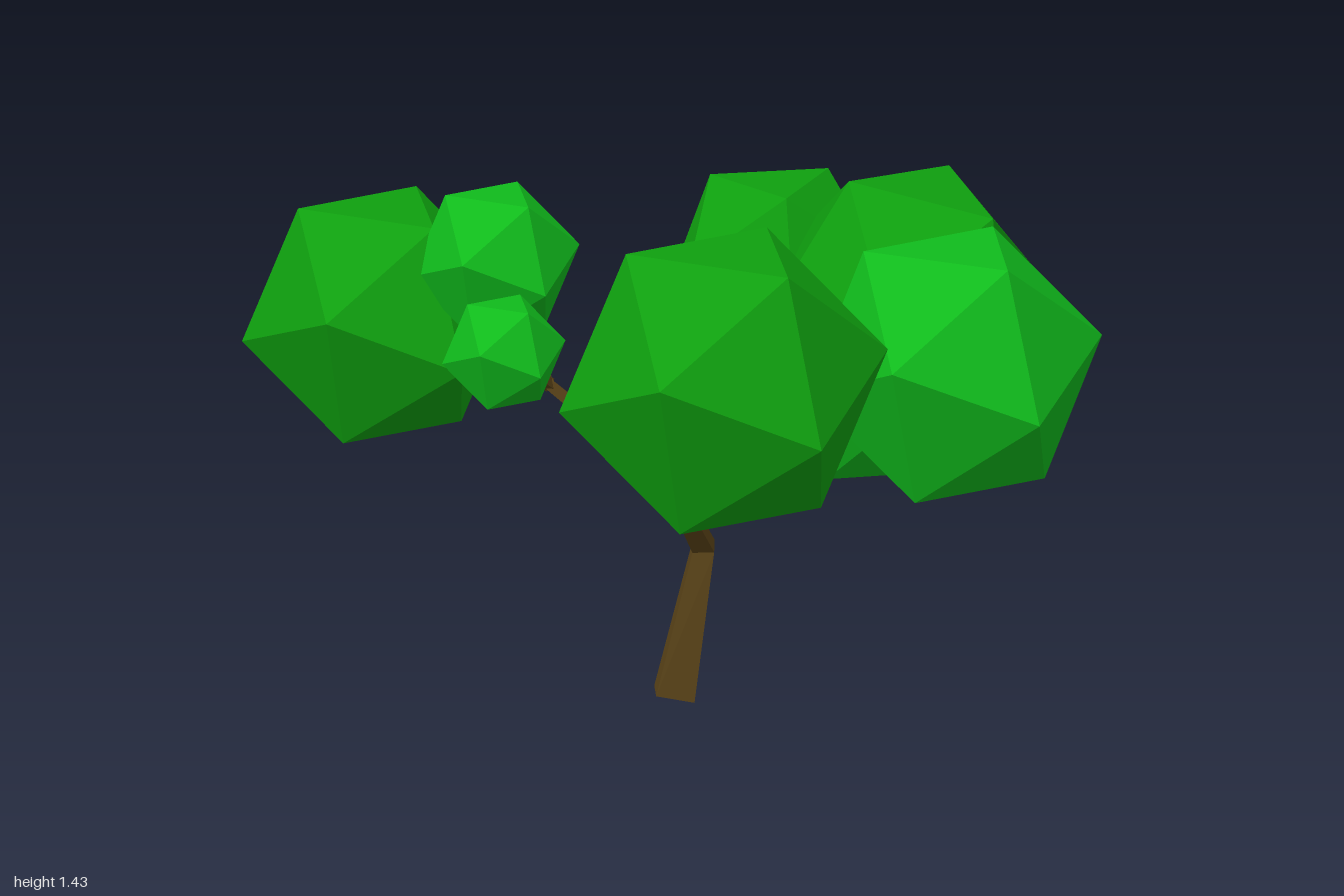
import * as THREE from 'three';

const V = (p) => new THREE.Vector3(...p);
const bark = new THREE.MeshStandardMaterial({ color: 0x5a4318, flatShading: true });
const darkLeaf = new THREE.MeshStandardMaterial({ color: 0x0fa00f, flatShading: true });
const brightLeaf = new THREE.MeshStandardMaterial({ color: 0x10bb1c, flatShading: true });

// Four-sided tapering limb lofted along [x, y, z, radius] points
function limb(name, path) {
  const sides = 4, pos = [], index = [];
  const pts = path.map((p) => V(p.slice(0, 3)));
  let u = new THREE.Vector3(1, 0, 0);
  pts.forEach((p, i) => {
    const t = new THREE.Vector3();
    if (i > 0) t.add(p.clone().sub(pts[i - 1]).normalize());
    if (i < pts.length - 1) t.add(pts[i + 1].clone().sub(p).normalize());
    t.normalize();
    u = u.clone().addScaledVector(t, -u.dot(t)).normalize();
    const v = t.clone().cross(u);
    for (let k = 0; k < sides; k++) {
      const ang = 0.35 + (k / sides) * Math.PI * 2;
      const q = p.clone()
        .addScaledVector(u, Math.cos(ang) * path[i][3])
        .addScaledVector(v, Math.sin(ang) * path[i][3]);
      pos.push(q.x, Math.max(q.y, 0), q.z);
      if (i === 0) continue;
      const a = (i - 1) * sides + k, b = (i - 1) * sides + ((k + 1) % sides);
      index.push(a, b, b + sides, a, b + sides, a + sides);
    }
  });
  // End caps
  const e = (pts.length - 1) * sides;
  index.push(0, 2, 1, 0, 3, 2, e, e + 1, e + 2, e, e + 2, e + 3);
  const indexed = new THREE.BufferGeometry();
  indexed.setAttribute('position', new THREE.Float32BufferAttribute(pos, 3));
  indexed.setIndex(index);
  const geo = indexed.toNonIndexed();
  geo.computeVertexNormals();
  const mesh = new THREE.Mesh(geo, bark);
  mesh.name = name;
  return mesh;
}

// Icosahedral leaf clump, turned so that two neighbouring corners point along a and b
function clump(name, center, radius, material, a = [-0.225, 0.33, -0.08], b = [0.195, 0.32, -0.15]) {
  const va = V(a).normalize(), vb = V(b).normalize();
  const x = vb.clone().sub(va).normalize();
  const y = va.clone().add(vb).normalize();
  const mesh = new THREE.Mesh(new THREE.IcosahedronGeometry(radius, 0), material);
  mesh.quaternion.setFromRotationMatrix(new THREE.Matrix4().makeBasis(x, y, x.clone().cross(y)));
  mesh.position.copy(V(center));
  mesh.name = name;
  return mesh;
}

export function createModel() {
  const tree = new THREE.Group();
  tree.name = 'tree';

  // Leaf clump centres
  const frontRight = [-0.335, 1.1, 0.6], frontLeft = [0.345, 1.03, 0.52];
  const backRight = [-0.62, 0.975, -0.69], upperRight = [-0.44, 1.16, -0.42], smallRight = [-0.54, 1.0, -0.18];
  const backLeft = [0.445, 0.97, -0.63], sideLeft = [0.585, 0.995, -0.19], lowLeft = [0.585, 0.645, -0.425];

  // Trunk and the three boughs leaving its fork
  const fork = [-0.075, 0.6, -0.18];
  tree.add(limb('trunk', [[0.01, 0.012, -0.33, 0.068], [0.075, 0.39, -0.3, 0.038], [...fork, 0.027]]));
  const boughs = [
    ['frontBough', [-0.02, 0.87, 0.38], [frontRight, frontLeft]],
    ['rightBough', [-0.35, 0.86, -0.305], [backRight, upperRight, smallRight]],
    ['leftBough', [0.27, 0.78, -0.275], [backLeft, sideLeft, lowLeft]],
  ];
  for (const [name, tip, targets] of boughs) {
    tree.add(limb(name, [[...fork, 0.026], [...tip, 0.019]]));
    for (const target of targets) {
      tree.add(limb(name + 'Twig', [[...tip, 0.019], [...target, 0.012]]));
    }
  }

  // Foliage
  tree.add(
    clump('frontRightFoliage', frontRight, 0.413, darkLeaf),
    clump('frontLeftFoliage', frontLeft, 0.372, brightLeaf, [-0.205, 0.295, -0.083], [0.175, 0.29, -0.135]),
    clump('backRightFoliage', backRight, 0.346, darkLeaf),
    clump('upperRightFoliage', upperRight, 0.212, brightLeaf),
    clump('smallRightFoliage', smallRight, 0.155, brightLeaf),
    clump('backLeftFoliage', backLeft, 0.28, darkLeaf, [0.17, 0.22, -0.036], [-0.12, 0.22, -0.13]),
    clump('sideLeftFoliage', sideLeft, 0.353, darkLeaf, [0.345, 0.01, 0.06], [0.185, 0.27, -0.127]),
    clump('lowLeftFoliage', lowLeft, 0.2, brightLeaf, [0.195, -0.03, -0.02], [0.11, 0.165, -0.015]),
  );
  return tree;
}
